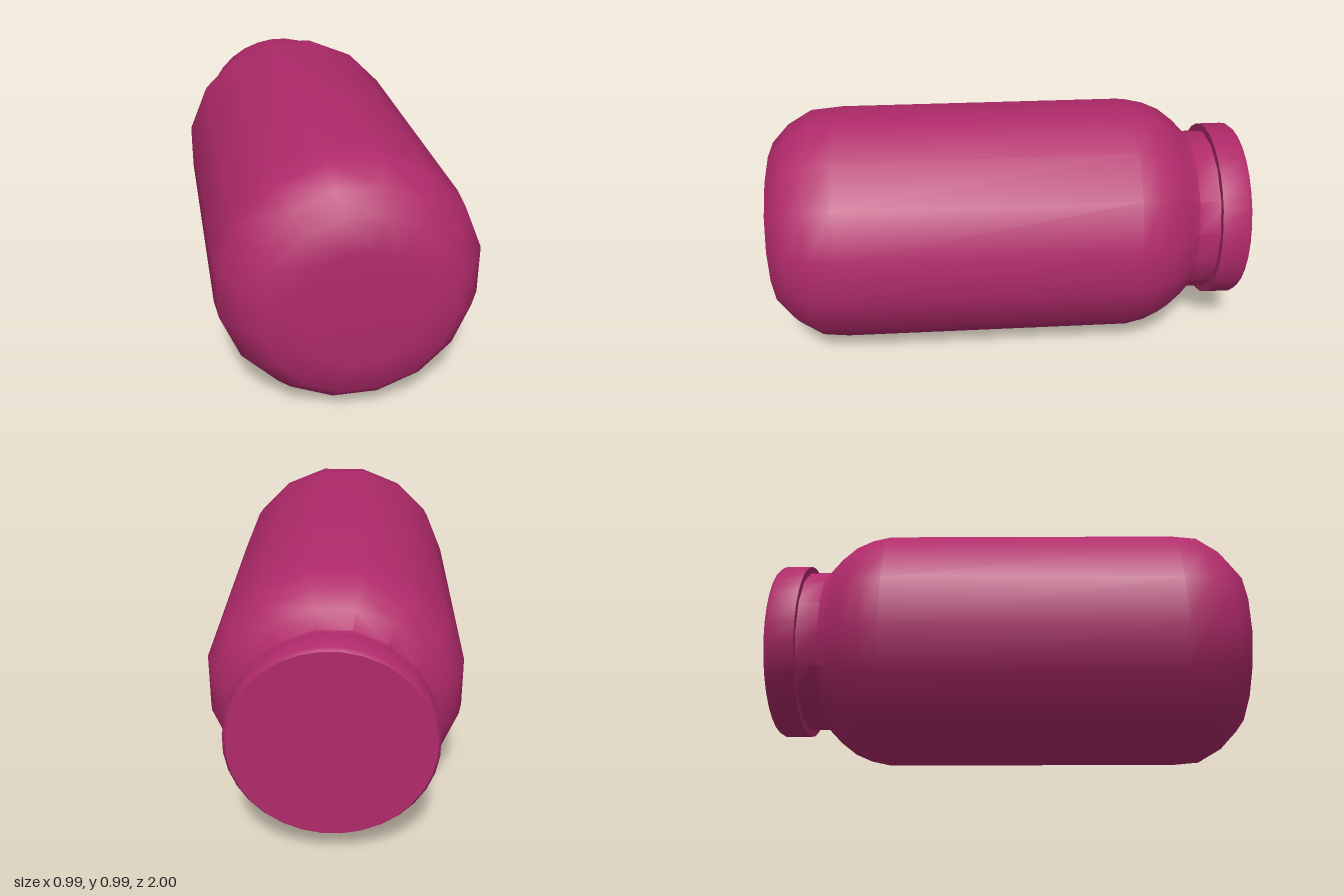
import * as THREE from 'three';
import { toCreasedNormals } from 'three/addons/utils/BufferGeometryUtils.js';

const CENTRE_Y = 0.497;

// Turned part lying along z; profile is [radius across flats, z], from back to front
function turned(name, profile, sides, material) {
  const scale = 1 / Math.cos(Math.PI / sides);
  const points = profile.map(([r, z]) => new THREE.Vector2(r * scale, z));
  const lathe = new THREE.LatheGeometry(points, sides, Math.PI / sides);
  lathe.rotateX(Math.PI / 2);
  const mesh = new THREE.Mesh(toCreasedNormals(lathe, 0.8), material);
  mesh.name = name;
  mesh.position.y = CENTRE_Y;
  return mesh;
}

export function createModel() {
  const group = new THREE.Group();
  group.name = 'jar';
  const material = new THREE.MeshStandardMaterial({ color: 0xb02a6a });

  // Sixteen-sided body: neck, rounded shoulder, straight wall, rounded base
  group.add(turned('body', [
    [0.344, -0.9], [0.344, -0.79], [0.4, -0.735], [0.45, -0.67],
    [0.48, -0.6], [0.497, -0.52], [0.497, 0.7], [0.487, 0.81],
    [0.43, 0.91], [0.355, 0.982], [0.23, 1], [0, 1],
  ], 16, material));

  // Rounder lid with a small bevel on its outer rim
  group.add(turned('lid', [
    [0, -1], [0.366, -1], [0.377, -0.985], [0.377, -0.877], [0.33, -0.877],
  ], 32, material));

  return group;
}
